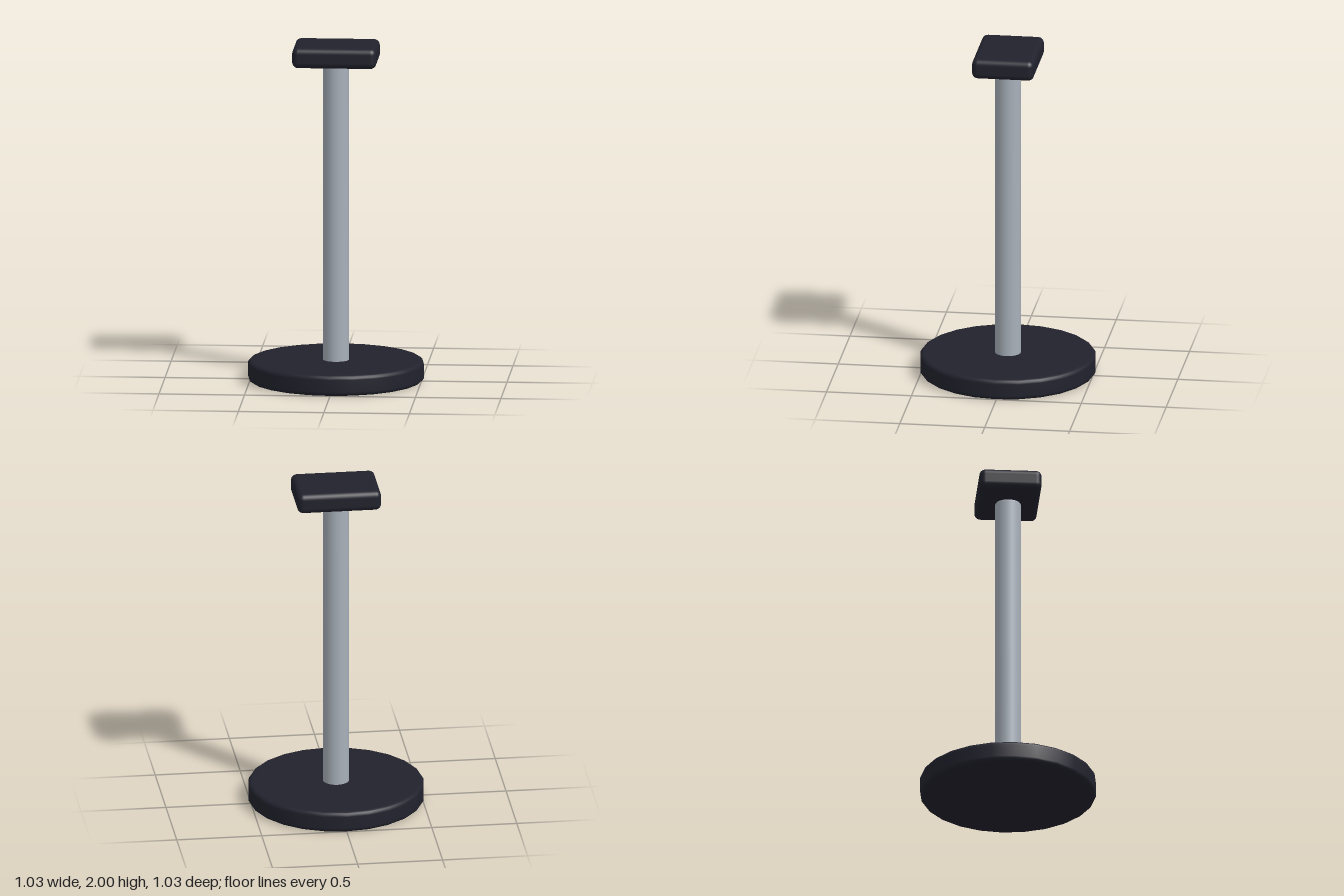
import * as THREE from 'three';
import { RoundedBoxGeometry } from 'three/addons/geometries/RoundedBoxGeometry.js';

// Closed disc or post with rounded rims, turned around the y axis.
function roundedCylinder(radius, y0, y1, bevel, sides) {
  const steps = 4;
  const points = [new THREE.Vector2(0, y0), new THREE.Vector2(radius - bevel * 1.1, y0)];
  for (const [cy, start] of [[y0 + bevel, -Math.PI / 2], [y1 - bevel, 0]]) {
    for (let i = 0; i <= steps; i++) {
      const a = start + (i / steps) * (Math.PI / 2);
      points.push(new THREE.Vector2(radius - bevel + bevel * Math.cos(a), cy + bevel * Math.sin(a)));
    }
  }
  points.push(new THREE.Vector2(radius - bevel * 1.1, y1), new THREE.Vector2(0, y1));
  return new THREE.LatheGeometry(points, sides);
}

export function createModel() {
  const model = new THREE.Group();
  model.name = 'pedestalStand';

  const darkPlastic = new THREE.MeshStandardMaterial({ color: 0x22222e });
  darkPlastic.name = 'darkPlastic';
  const greyMetal = new THREE.MeshStandardMaterial({ color: 0xa8b0ba });
  greyMetal.name = 'greyMetal';

  function add(name, geometry, material) {
    const mesh = new THREE.Mesh(geometry, material);
    mesh.name = name;
    model.add(mesh);
    return mesh;
  }

  // Round foot, 24 sides
  add('base', roundedCylinder(0.515, 0, 0.122, 0.025, 24), darkPlastic);

  // Upright post
  add('post', roundedCylinder(0.076, 0.1, 1.886, 0.014, 24), greyMetal);

  // Rectangular head plate
  add('topPlate', new RoundedBoxGeometry(0.492, 0.12, 0.364, 4, 0.035), darkPlastic)
    .position.y = 1.94;

  return model;
}
